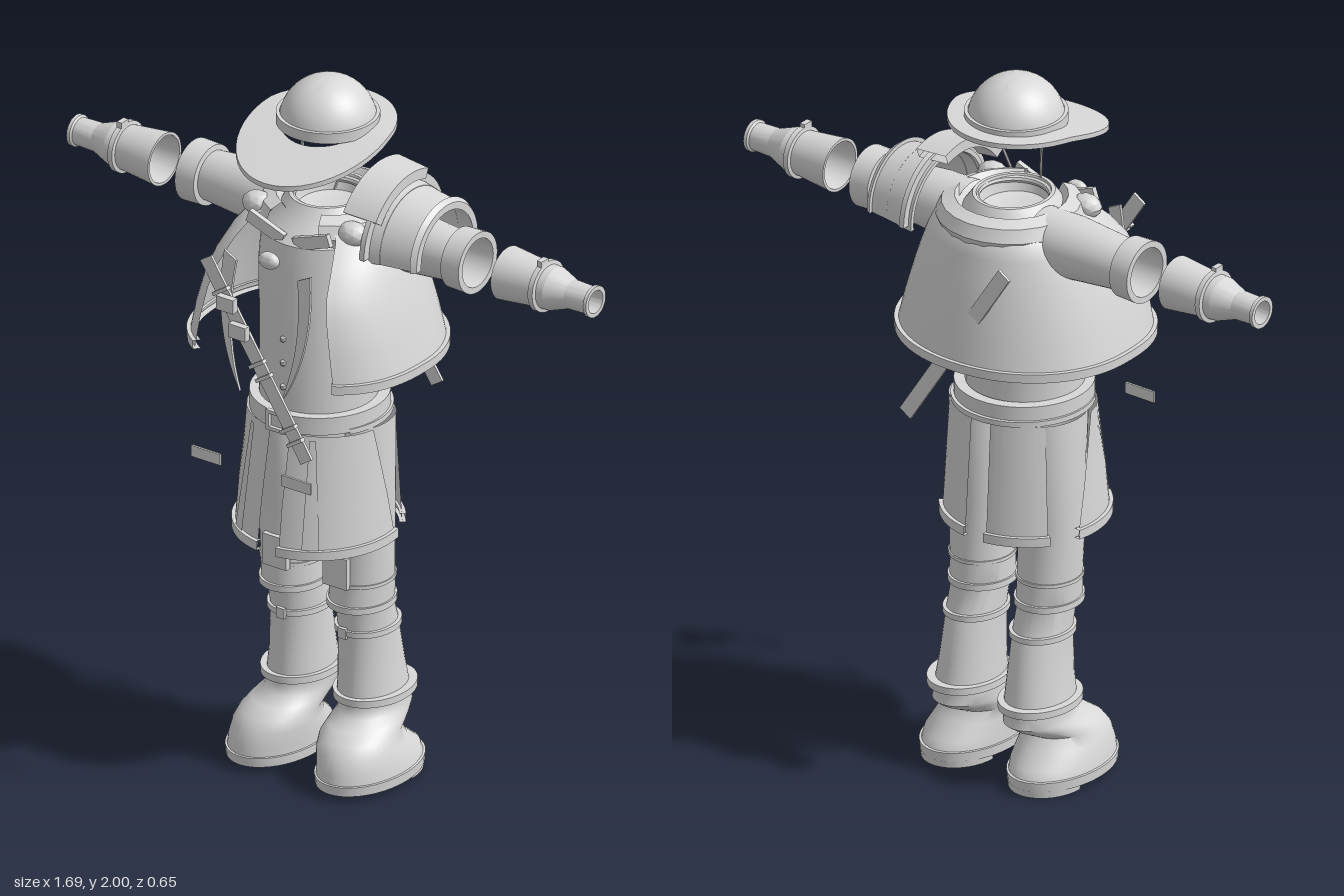
import * as THREE from 'three';
import { toCreasedNormals } from 'three/addons/utils/BufferGeometryUtils.js';

const D = Math.PI / 180;

export function createModel() {
  const root = new THREE.Group();
  const grey = new THREE.MeshStandardMaterial({ color: 0xd8d8d8, side: THREE.DoubleSide });
  grey.name = 'plain light grey';

  const add = (name, geo, parent = root, crease = 0.5) => {
    const m = new THREE.Mesh(toCreasedNormals(geo, crease), grey);
    m.name = name;
    parent.add(m);
    return m;
  };

  // Skin over sections [y, cx, cz, rx, rz, endAngle]; angle 0 is the front, 90 is +x.
  // p and q square off the front and back halves
  const loft = (secs, a0 = 0, a1 = 360, n = 40, p = 1, q = p) => {
    const pos = [], idx = [];
    const pw = (v, e) => Math.sign(v) * Math.abs(v) ** e;
    for (const [y, cx, cz, rx, rz, end = a1] of secs) {
      for (let j = 0; j <= n; j++) {
        const a = (a0 + (end - a0) * j / n) * D;
        const e = Math.cos(a) > 0 ? p : q;
        pos.push(cx + rx * pw(Math.sin(a), e), y, cz + rz * pw(Math.cos(a), e));
      }
    }
    for (let i = 0; i < secs.length - 1; i++) {
      for (let j = 0; j < n; j++) {
        const k = i * (n + 1) + j, u = k + n + 1;
        idx.push(k, k + 1, u + 1, k, u + 1, u);
      }
    }
    const g = new THREE.BufferGeometry();
    g.setAttribute('position', new THREE.Float32BufferAttribute(pos, 3));
    g.setIndex(idx);
    return g;
  };
  // Elliptical band with a rectangular section
  const band = (y0, y1, cx, cz, rx, rz, t, a0, a1, p, q) => loft([
    [y0, cx, cz, rx - t, rz - t], [y0, cx, cz, rx, rz], [y1, cx, cz, rx, rz], [y1, cx, cz, rx - t, rz - t],
  ], a0, a1, 56, p, q);
  // Profile [radius, x] turned about the x axis; angles run from the front upward
  const turned = (pts, y, z, t0 = 0, t1 = 360) =>
    new THREE.LatheGeometry(pts.map(v => new THREE.Vector2(...v)), 36, -t1 * D, (t1 - t0) * D)
      .rotateZ(-Math.PI / 2).translate(0, y, z);
  const box = (w, h, d, x, y, z, rz = 0) => new THREE.BoxGeometry(w, h, d).rotateZ(rz).translate(x, y, z);

  // Hat: dome, band, drooping brim
  const hat = new THREE.Group();
  hat.name = 'hat';
  root.add(hat);
  add('hatDome', new THREE.SphereGeometry(0.13, 36, 14, 0, 2 * Math.PI, 0, Math.PI / 2).translate(0, 1.87, -0.04), hat);
  add('hatBand', band(1.87, 1.9, 0, -0.04, 0.137, 0.137, 0.01), hat);
  const rings = [[0.125, 0.125, -0.04], [0.15, 0.16, -0.023], [0.175, 0.195, -0.007], [0.2, 0.232, 0.01]];
  const brim = loft([
    ...rings.map(([rx, rz, cz]) => [1.872, 0, cz, rx, rz]),
    ...rings.slice().reverse().map(([rx, rz, cz]) => [1.886, 0, cz, rx, rz]),
  ], 0, 360, 48);
  const bp = brim.attributes.position;
  for (let i = 0; i < bp.count; i++) {
    const t = Math.max(0, (bp.getZ(i) + 0.06) / 0.3);
    bp.setY(i, bp.getY(i) - 0.085 * t ** 1.25 - 0.1 * bp.getX(i) ** 2);
  }
  add('hatBrim', brim, hat);
  for (const s of [-1, 1]) {
    const cord = new THREE.LineCurve3(new THREE.Vector3(s * 0.09, 1.865, -0.045), new THREE.Vector3(s * 0.05, 1.7, 0.0));
    add('chinCord', new THREE.TubeGeometry(cord, 1, 0.004, 6), hat);
  }

  // Torso with hollow neck
  add('torso', loft([
    [1.03, 0, 0, 0.001, 0.001], [1.03, 0, 0, 0.157, 0.157], [1.5, 0, 0, 0.158, 0.158], [1.58, 0, -0.03, 0.165, 0.175],
    [1.63, 0, -0.05, 0.13, 0.14], [1.665, 0, -0.05, 0.105, 0.115], [1.665, 0, -0.05, 0.095, 0.105],
    [1.62, 0, -0.05, 0.085, 0.09], [1.6, 0, -0.05, 0.001, 0.001],
  ]));
  add('neckRing', new THREE.TorusGeometry(0.1, 0.01, 8, 36).rotateX(Math.PI / 2).translate(0, 1.65, -0.05));
  add('collar', loft([
    [1.58, 0, -0.06, 0.19, 0.19], [1.61, 0, -0.06, 0.2, 0.2], [1.645, 0, -0.06, 0.185, 0.185],
    [1.66, 0, -0.06, 0.15, 0.15], [1.62, 0, -0.06, 0.12, 0.13],
  ], 25, 335, 20));
  for (const s of [-1, 1]) {
    add('collarKnot', new THREE.IcosahedronGeometry(0.045, 1).scale(1, 0.75, 0.8).translate(s * 0.155, 1.625, 0.06));
    add('collarTip', box(0.12, 0.035, 0.015, s * 0.075, 1.605, 0.13, s * 0.35));
  }
  add('brooch', new THREE.SphereGeometry(0.032, 20, 12).scale(1, 0.75, 0.6).translate(0, 1.565, 0.22));
  for (const y of [1.17, 1.24, 1.31]) add('button', new THREE.SphereGeometry(0.009, 10, 6).translate(0, y, 0.158));

  // Belt and buckle
  add('belt', band(1.055, 1.105, 0, -0.005, 0.185, 0.187, 0.03));
  add('beltFlange', band(1.05, 1.065, 0, -0.01, 0.19, 0.192, 0.035, 60, 300));
  for (const s of [-1, 1]) {
    add('buckleSide', box(0.012, 0.055, 0.012, s * 0.028, 1.08, 0.186));
    add('buckleBar', box(0.06, 0.01, 0.012, 0, 1.08 + s * 0.024, 0.186));
  }

  // Cape, open at the front, with a hem
  const cape = new THREE.Group();
  cape.name = 'cape';
  root.add(cape);
  add('capeShell', loft([
    [1.255, 0, -0.015, 0.335, 0.305], [1.35, 0, -0.01, 0.312, 0.295], [1.44, 0, -0.008, 0.285, 0.28],
    [1.5, 0, -0.015, 0.262, 0.262], [1.56, 0, -0.032, 0.235, 0.228], [1.61, 0, -0.055, 0.2, 0.195],
    [1.645, 0, -0.06, 0.14, 0.15],
  ], 37, 323, 56, 0.78, 0.96), cape, 0.8);
  add('capeHem', band(1.25, 1.275, 0, -0.015, 0.342, 0.313, 0.02, 36, 324, 0.78, 0.96), cape);

  // Hanging lapel blades
  const blade = new THREE.Shape();
  blade.moveTo(0.1, 0.36);
  blade.lineTo(0.14, 0.38);
  blade.quadraticCurveTo(0.165, 0.16, 0.065, 0);
  blade.quadraticCurveTo(0.13, 0.16, 0.1, 0.36);
  for (const s of [-1, 1]) {
    const m = add('lapelBlade', new THREE.ExtrudeGeometry(blade, { depth: 0.008, bevelEnabled: false, curveSegments: 10 })
      .rotateX(-0.09).translate(0, 1.18, 0.255));
    m.scale.x = s;
  }

  // Shoulder strap, front and back, with buckles
  const slope = Math.atan2(-0.49, 0.32);
  for (const z of [0.288, -0.287]) add('shoulderStrap', box(0.6, 0.042, 0.008, 0.01, 1.305, z, slope));
  for (const [x, y] of [[-0.09, 1.46], [0.028, 1.28], [0.13, 1.12]]) {
    for (const s of [-1, 1]) {
      const dx = s * 0.02 * Math.cos(slope), dy = s * 0.02 * Math.sin(slope);
      add('strapBuckle', box(0.01, 0.055, 0.016, x + dx, y + dy, 0.294, slope));
    }
  }
  for (const [x, y] of [[-0.07, 1.455], [-0.03, 1.385]]) add('strapClasp', box(0.055, 0.04, 0.02, x, y, 0.312));

  // Layered guard on the left shoulder
  const lame = (r, x0, x1, t0, t1, t = 0.012) => add('shoulderLame',
    turned([[r - t, x0], [r, x0], [r - 0.01, x1], [r - 0.01 - t, x1], [r - t, x0]], 1.575, -0.085, t0, t1));
  lame(0.16, 0.19, 0.245, -5, 185);
  lame(0.15, 0.235, 0.295, -5, 185);
  lame(0.142, 0.285, 0.35, -5, 185);
  lame(0.145, 0.34, 0.355, -5, 185, 0.02);
  lame(0.205, 0.14, 0.24, 35, 112, 0.03);
  add('guardRim', turned([[0.145, 0.2], [0.178, 0.2], [0.178, 0.215], [0.145, 0.215]], 1.575, -0.085, 0, 180));

  // One side, mirrored for the other
  const sides = [1, -1].map(s => {
    const g = new THREE.Group();
    g.name = s > 0 ? 'leftSide' : 'rightSide';
    g.scale.x = s;
    root.add(g);
    return g;
  });
  for (const g of sides) {
    // Sleeve with cuff and the separate glove
    add('sleeve', turned([[0.085, 0.12], [0.085, 0.22], [0.069, 0.4], [0.084, 0.402], [0.086, 0.462], [0.068, 0.462],
      [0.06, 0.3], [0, 0.3]], 1.577, -0.075), g);
    add('glove', turned([[0.066, 0.558], [0.074, 0.558], [0.062, 0.675], [0.072, 0.677], [0.072, 0.692], [0.061, 0.694],
      [0.06, 0.715], [0.04, 0.77], [0.038, 0.832], [0.044, 0.836], [0.044, 0.846], [0.032, 0.846], [0.03, 0.77],
      [0.05, 0.7], [0.066, 0.558]], 1.577, -0.075), g, 0.3);
    add('gloveBuckle', box(0.016, 0.022, 0.03, 0.684, 1.648, -0.06), g);

    // Coat skirt, split at front, side and back
    add('skirtFront', loft([[0.715, 0, 0, 0.217, 0.228, 102], [0.85, 0, 0, 0.21, 0.21, 95], [1.05, 0, -0.005, 0.2, 0.178, 80]], 9, 102, 24), g);
    add('skirtBack', loft([[0.715, 0, 0, 0.22, 0.215], [1.05, 0, -0.01, 0.2, 0.182]], 127, 171, 16), g);
    add('skirtFrontHem', band(0.712, 0.738, 0, 0, 0.226, 0.236, 0.018, 8, 103), g);
    add('skirtBackHem', band(0.712, 0.738, 0, 0, 0.23, 0.224, 0.018, 126, 172), g);
    add('skirtPleat', loft([[0.74, 0, 0, 0.221, 0.232, 38], [1.04, 0, 0, 0.205, 0.182, 31]], 26, 36, 6), g);
    add('pocketFlap', box(0.095, 0.032, 0.006, 0.147, 0.983, 0.298), g);

    // Leg with straps and knee patch
    add('leg', loft([
      [0.22, 0.115, -0.085, 0.085, 0.115], [0.3, 0.112, -0.08, 0.078, 0.105], [0.43, 0.11, -0.068, 0.072, 0.092],
      [0.5, 0.11, -0.05, 0.074, 0.085], [0.51, 0.11, -0.04, 0.083, 0.095], [0.58, 0.112, -0.04, 0.084, 0.092],
      [0.75, 0.115, -0.035, 0.087, 0.088], [1.05, 0.112, -0.03, 0.085, 0.11],
    ]), g);
    add('kneeBand', band(0.502, 0.52, 0.11, -0.04, 0.088, 0.102, 0.015), g);
    add('thighBand', band(0.575, 0.585, 0.112, -0.04, 0.087, 0.096, 0.012), g);
    add('shinStrap', band(0.42, 0.436, 0.11, -0.068, 0.082, 0.1, 0.018), g);
    add('shinBuckle', box(0.026, 0.03, 0.01, 0.1, 0.428, 0.032), g);
    add('ankleRing', band(0.224, 0.244, 0.118, -0.088, 0.1, 0.13, 0.025), g);
    add('kneePatch', box(0.078, 0.09, 0.018, 0.098, 0.62, 0.056), g);

    // Boot with notched heel, sole and heel block
    add('boot', loft([
      [0.04, 0.145, -0.028, 0.115, 0.18], [0.07, 0.143, -0.024, 0.113, 0.172], [0.11, 0.136, -0.005, 0.107, 0.142],
      [0.14, 0.13, -0.008, 0.1, 0.122], [0.165, 0.124, -0.05, 0.092, 0.128], [0.185, 0.118, -0.085, 0.086, 0.12],
      [0.21, 0.116, -0.088, 0.083, 0.112], [0.235, 0.116, -0.088, 0.085, 0.115],
    ]), g, 0.8);
    add('sole', loft([
      [0.018, 0.145, -0.028, 0.001, 0.001], [0.018, 0.145, -0.028, 0.118, 0.182], [0.045, 0.145, -0.028, 0.12, 0.185],
      [0.048, 0.145, -0.028, 0.1, 0.165],
    ]), g);
    add('heel', loft([
      [0, 0.145, -0.082, 0.001, 0.001], [0, 0.145, -0.082, 0.1, 0.125], [0.02, 0.145, -0.082, 0.102, 0.128],
      [0.02, 0.145, -0.082, 0.001, 0.001],
    ], 90, 270), g);
  }
  return root;
}
